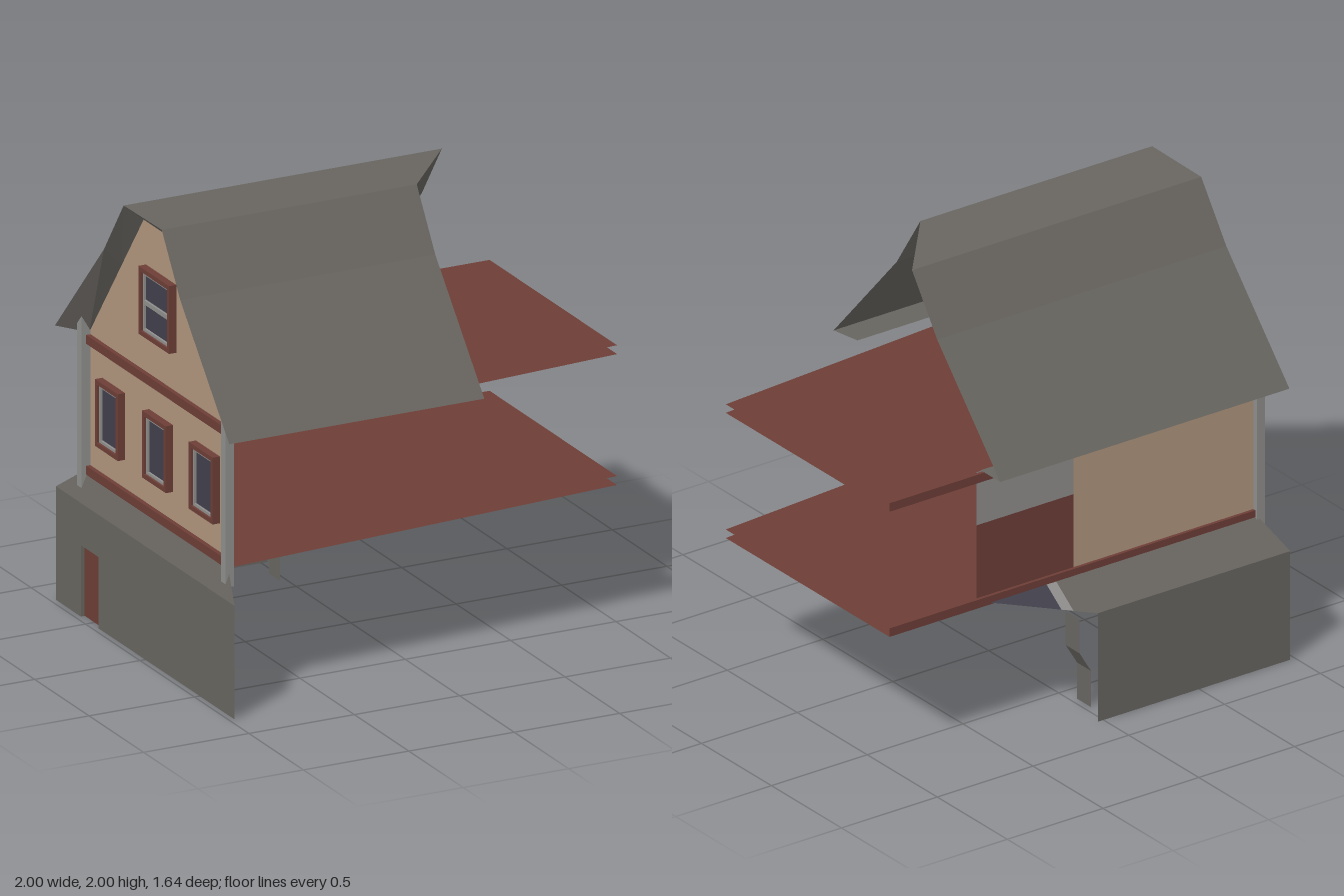
import * as THREE from 'three';

const mat = (name, color) => {
  const m = new THREE.MeshStandardMaterial({ color, side: THREE.DoubleSide });
  m.name = name;
  return m;
};

export function createModel() {
  const slate = mat('slate grey', 0x686560);
  const plaster = mat('tan plaster', 0xb0967d);
  const red = mat('red brown wood', 0x6d3e37);
  const pale = mat('pale grey', 0x8f8e8d);
  const glass = mat('dark glass', 0x41404c);

  const model = new THREE.Group();
  model.name = 'cutawayHouse';

  const add = (parent, name, geometry, material) => {
    const mesh = new THREE.Mesh(geometry, material);
    mesh.name = name;
    parent.add(mesh);
    return mesh;
  };

  // Flat convex panels, each a list of corners, joined in one mesh
  const panels = (parent, name, material, ...faces) => {
    const pos = [];
    for (const f of faces)
      for (let i = 1; i < f.length - 1; i++) pos.push(...f[0], ...f[i], ...f[i + 1]);
    const g = new THREE.BufferGeometry();
    g.setAttribute('position', new THREE.Float32BufferAttribute(pos, 3));
    g.computeVertexNormals();
    return add(parent, name, g, material);
  };

  const box = (parent, name, material, w, h, d, x, y, z) =>
    add(parent, name, new THREE.BoxGeometry(w, h, d), material).position.set(x, y, z);

  // Shape drawn in (z, y), turned so that it lies in the plane of the gable
  const outline = (pts) => new THREE.Shape(pts.map(([z, y]) => new THREE.Vector2(-z, y)));
  const rect = (z0, z1, y0, y1) => [[z0, y0], [z1, y0], [z1, y1], [z0, y1]];
  const inGable = (parent, name, material, pts, holes, x, depth = 0) => {
    const s = outline(pts);
    for (const h of holes) s.holes.push(outline(h));
    const g = depth
      ? new THREE.ExtrudeGeometry(s, { depth, bevelEnabled: false })
      : new THREE.ShapeGeometry(s);
    g.rotateY(Math.PI / 2).translate(x, 0, 0);
    return add(parent, name, g, material);
  };

  // Lower storey: end wall with doorway, and back wall
  const base = new THREE.Group();
  base.name = 'lowerStorey';
  model.add(base);
  const X = -0.975;
  inGable(base, 'lowerEndWall', slate,
    [[0.82, 0], [0.82, 0.51], [-0.82, 0.51], [-0.82, 0], [-0.59, 0], [-0.59, 0.32], [-0.43, 0.32], [-0.43, 0]], [], X);
  inGable(base, 'door', red, rect(-0.59, -0.43, 0, 0.32), [], X + 0.018);
  panels(base, 'doorReveal', slate,
    ...[-0.59, -0.43].map((z) => [[X, 0, z], [X + 0.018, 0, z], [X + 0.018, 0.32, z], [X, 0.32, z]]),
    [[X, 0.32, -0.59], [X, 0.32, -0.43], [X + 0.018, 0.32, -0.43], [X + 0.018, 0.32, -0.59]]);
  panels(base, 'lowerBackWall', slate,
    [[0.03, 0, -0.82], [X, 0, -0.82], [X, 0.51, -0.82], [0.03, 0.51, -0.82]]);

  // Sloping skirt between the storeys, its cut end glazed
  const top = 0.632, zTop = 0.65;
  const cut = (x) => {
    const t = (x - 0.03) / 0.47;
    return [x, 0.51 + t * (top - 0.51), -0.82 + t * (0.82 - zTop)];
  };
  panels(base, 'skirt', slate,
    [[X, 0.51, -0.82], [X, 0.51, 0.82], [-0.92, top, zTop], [-0.92, top, -zTop]],
    [[X, 0.51, -0.82], [-0.92, top, -zTop], [0.13, top, -zTop], cut(0.13), cut(0.03)]);
  panels(base, 'skirtWindowFrame', pale, [cut(0.13), [0.13, top, -zTop], [0.18, top, -zTop], cut(0.18)]);
  panels(base, 'skirtWindowGlass', glass, [cut(0.18), [0.18, top, -zTop], cut(0.5)]);

  // Bent strip standing inside the lower storey
  const bend = [[-0.03, 0], [-0.03, 0.17], [0.03, 0.27], [0.03, 0.43]];
  panels(base, 'bentStrip', slate, ...bend.slice(1).map(([x, y], i) => {
    const [x0, y0] = bend[i];
    return [[x0, y0, -0.59], [x0, y0, -0.69], [x, y, -0.69], [x, y, -0.59]];
  }));

  // Floors: two thin sheets with edge beams at the back and the gable end
  for (const [name, y0, y1] of [['lowerFloor', 0.617, 0.657], ['upperFloor', 1.205, 1.245]]) {
    const plan = [[-0.93, 0.656], [1, 0.51], [1, -0.66], [-0.93, -0.66]];
    const ring = (y) => plan.map(([x, z]) => [x, y, z]);
    const lo = ring(y0), hi = ring(y1);
    panels(model, name, red, hi, [...lo].reverse(),
      [lo[2], lo[3], hi[3], hi[2]], [lo[3], lo[0], hi[0], hi[3]]);
  }

  // Upper back wall: plaster, then a two-tone end section
  const backWall = (name, material, x0, x1, y0, y1) => panels(model, name, material,
    [[x1, y0, -0.645], [x0, y0, -0.645], [x0, y1, -0.645], [x1, y1, -0.645]]);
  backWall('upperBackWall', plaster, -0.91, 0.03, 0.635, 1.25);
  backWall('backWallLowerPanel', red, 0.03, 0.535, 0.635, 1.0);
  backWall('backWallUpperPanel', pale, 0.03, 0.535, 1.0, 1.25);

  // Gable wall with window openings: [z0, z1, y0, y1]
  const gable = [[0.65, 1.26], [0.17, 1.92], [-0.14, 1.92], [-0.64, 1.25]];
  const windows = [
    [-0.12, 0.16, 1.42, 1.725],
    [0.34, 0.56, 0.785, 1.085],
    [-0.09, 0.13, 0.785, 1.085],
    [-0.52, -0.31, 0.785, 1.085],
  ];
  const inset = ([a, b, c, d], e) => rect(a + e, b - e, c + e, d - e);
  inGable(model, 'gableWall', plaster, [[0.65, 0.632], ...gable, [-0.645, 0.632]],
    windows.map((w) => inset(w, 0.012)), -0.91);

  windows.forEach((w, i) => {
    const g = new THREE.Group();
    g.name = i ? 'window' : 'atticWindow';
    model.add(g);
    inGable(g, 'windowFrame', red, inset(w, 0), [inset(w, 0.02)], -0.945, 0.037);
    inGable(g, 'windowSash', pale, inset(w, 0.02), [inset(w, 0.032)], -0.935, 0.022);
    inGable(g, 'windowPane', glass, inset(w, 0.03), [], -0.925);
    if (!i) box(g, 'windowBar', pale, 0.022, 0.02, 0.22, -0.924, 1.57, 0.02);
  });

  // Corner posts
  for (const z of [0.67, -0.65])
    box(model, 'cornerPost', pale, 0.042, 0.795, 0.042, -0.931, 0.9425, z);

  // Roof profile from front eave to back eave: [z, y, x of the cut end]
  const roof = [
    [0.82, 1.24, 0.21], [0.37, 1.74, 0.21], [0.2, 2, 0.21],
    [-0.15, 1.995, 0.51], [-0.33, 1.74, 0.51], [-0.78, 1.25, 0.51],
  ];
  panels(model, 'roof', slate, ...roof.slice(1).map(([z, y, x], i) => {
    const [z0, y0, x0] = roof[i];
    return [[-1, y0, z0], [x0, y0, z0], [x, y, z], [-1, y, z]];
  }));

  // Bevelled overhang between the roof edge and the gable wall
  const mid = (a, b, t) => [a[0] + (b[0] - a[0]) * t, a[1] + (b[1] - a[1]) * t];
  const inner = [gable[0], mid(gable[0], gable[1], 0.6), gable[1], gable[2],
    mid(gable[3], gable[2], 0.6), gable[3]];
  panels(model, 'gableSoffit', slate, ...inner.slice(1).map(([z, y], i) => [
    [-1, roof[i][1], roof[i][0]], [-1, roof[i + 1][1], roof[i + 1][0]],
    [-0.91, y, z], [-0.91, inner[i][1], inner[i][0]],
  ]));

  // Soffits under the eaves
  panels(model, 'eaveSoffits', slate,
    [[-1, 1.24, 0.82], [-0.91, 1.26, 0.65], [0.21, 1.26, 0.65], [0.21, 1.24, 0.82]],
    [[-1, 1.25, -0.78], [0.51, 1.25, -0.78], [0.51, 1.25, -0.64], [-0.91, 1.25, -0.64]]);

  return model;
}
